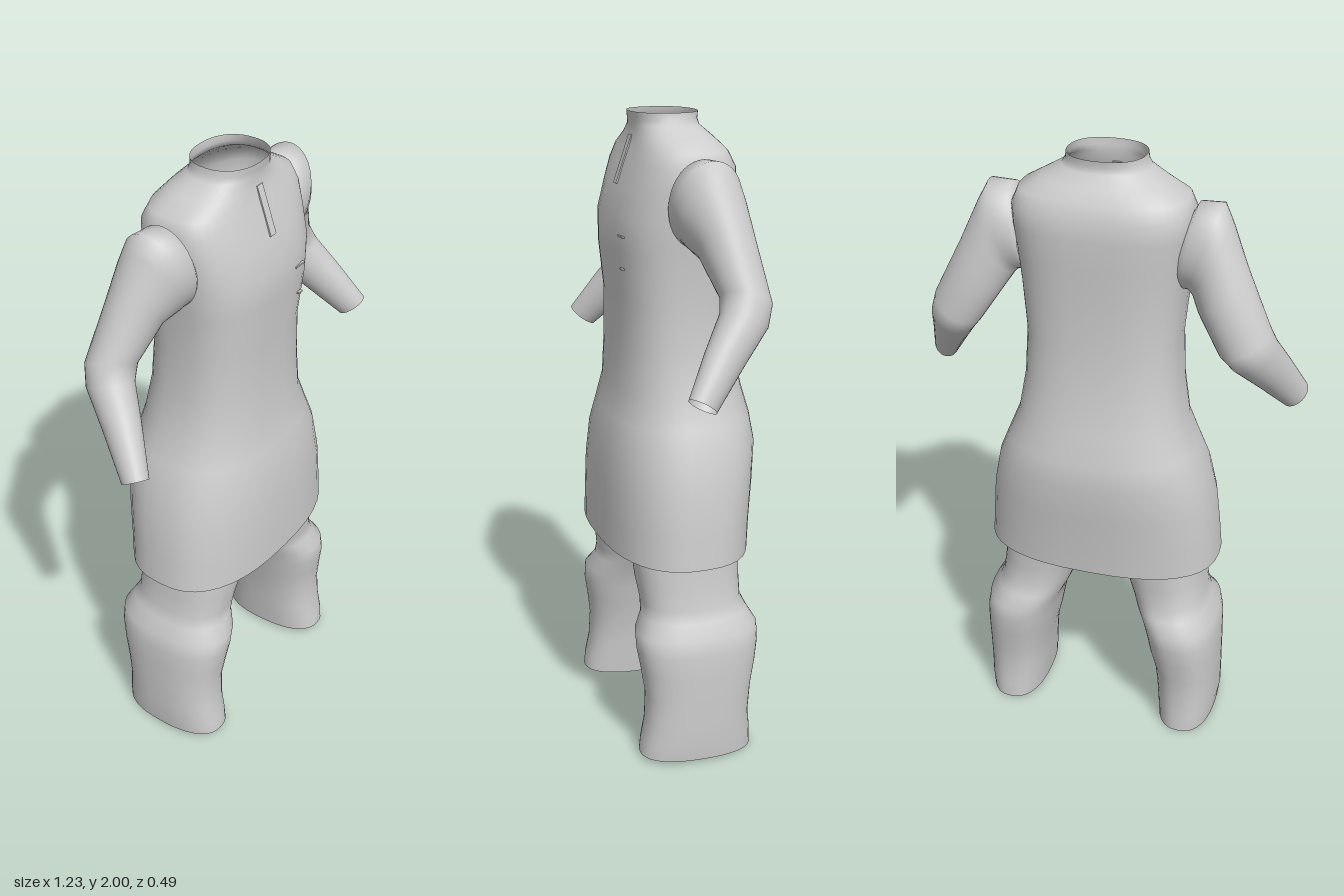
import * as THREE from 'three';

const SEG = 40;

// Skin a list of rings (bottom to top) into one smooth open shell
function loft(name, rings, material) {
  const pos = [], index = [];
  rings.forEach((ring) => ring.forEach((p) => pos.push(p.x, p.y, p.z)));
  for (let r = 0; r < rings.length - 1; r++) {
    for (let i = 0; i < SEG; i++) {
      const a = r * SEG + i, b = r * SEG + ((i + 1) % SEG);
      index.push(a, a + SEG, b, b, a + SEG, b + SEG);
    }
  }
  const geo = new THREE.BufferGeometry();
  geo.setAttribute('position', new THREE.Float32BufferAttribute(pos, 3));
  geo.setIndex(index);
  geo.computeVertexNormals();
  const mesh = new THREE.Mesh(geo, material);
  mesh.name = name;
  return mesh;
}

const ringOf = (fn) => Array.from({ length: SEG }, (_, i) => fn((i / SEG) * Math.PI * 2));
const power = (v, n) => Math.sign(v) * Math.pow(Math.abs(v), 2 / n);

// Rounded-box cross-section at height y; tilt raises the front edge
function section(y, x0, x1, front, back, n, tilt = 0) {
  return ringOf((t) => {
    const z = (front + back) / 2 + ((front - back) / 2) * power(Math.sin(t), n);
    return new THREE.Vector3((x0 + x1) / 2 + ((x1 - x0) / 2) * power(Math.cos(t), n), y + tilt * z, z);
  });
}

// Tunic: y, half width, front z, back z, squareness
const TUNIC = [
  [0.66, 0.387, 0.245, -0.21, 2.5],
  [0.76, 0.378, 0.243, -0.217, 2.5],
  [0.88, 0.365, 0.24, -0.23, 2.5],
  [1.0, 0.338, 0.23, -0.243, 2.5],
  [1.08, 0.305, 0.212, -0.232, 2.5],
  [1.17, 0.268, 0.192, -0.208, 2.5],
  [1.3, 0.246, 0.185, -0.18, 2.6],
  [1.45, 0.238, 0.182, -0.165, 2.7],
  [1.6, 0.25, 0.195, -0.165, 2.8],
  [1.7, 0.26, 0.193, -0.168, 2.8],
  [1.79, 0.268, 0.165, -0.171, 2.9],
  [1.85, 0.27, 0.145, -0.166, 2.9],
  [1.895, 0.252, 0.128, -0.145, 2.8],
  [1.93, 0.19, 0.118, -0.117, 2.5],
  [1.962, 0.132, 0.115, -0.085, 2.3],
  [1.98, 0.121, 0.118, -0.081, 2.3],
  [2.0, 0.118, 0.12, -0.084, 2.3],
];

// Trouser leg: y, inner x, outer x, front z, back z
const LEG = [
  [0.01, 0.212, 0.403, 0.205, -0.165],
  [0.06, 0.208, 0.408, 0.2, -0.163],
  [0.13, 0.202, 0.409, 0.185, -0.157],
  [0.22, 0.194, 0.409, 0.18, -0.165],
  [0.3, 0.175, 0.408, 0.19, -0.182],
  [0.37, 0.162, 0.406, 0.201, -0.192],
  [0.425, 0.148, 0.396, 0.201, -0.193],
  [0.47, 0.126, 0.366, 0.173, -0.168],
  [0.51, 0.11, 0.352, 0.17, -0.15],
  [0.58, 0.087, 0.343, 0.18, -0.15],
  [0.66, 0.065, 0.335, 0.186, -0.155],
  [0.86, 0.02, 0.32, 0.19, -0.17],
];

// Sleeve, wrist to shoulder: outer x, y, inner x, y, centre z, side y, side z
const SLEEVE = [
  [0.617, 1.265, 0.54, 1.234, 0.108, 0.025, 0.04],
  [0.574, 1.385, 0.462, 1.345, 0.018, 0.03, 0.056],
  [0.54, 1.48, 0.4, 1.43, -0.058, 0.03, 0.07],
  [0.517, 1.54, 0.368, 1.47, -0.075, 0.025, 0.076],
  [0.435, 1.71, 0.298, 1.575, -0.046, 0.015, 0.088],
  [0.382, 1.83, 0.275, 1.61, -0.02, 0, 0.1],
  [0.352, 1.888, 0.26, 1.62, -0.01, 0, 0.104],
  [0.28, 1.885, 0.245, 1.62, -0.008, 0, 0.102],
  [0.25, 1.83, 0.235, 1.63, -0.006, 0, 0.09],
];

function sleeveRing([ox, oy, ix, iy, cz, sy, sz], side) {
  return ringOf((t) => {
    const c = Math.cos(t), s = Math.sin(t) * side;
    return new THREE.Vector3(
      side * ((ox + ix) / 2 + (c * (ox - ix)) / 2),
      (oy + iy) / 2 + (c * (oy - iy)) / 2 + s * sy,
      cz + s * sz,
    );
  });
}

export function createModel() {
  const cloth = new THREE.MeshStandardMaterial({ color: 0xcccccc, side: THREE.DoubleSide });
  cloth.name = 'pale grey cloth';
  const model = new THREE.Group();
  model.name = 'outfit';

  model.add(loft('tunic', TUNIC.map(([y, w, f, b, n]) => section(y, -w, w, f, b, n)), cloth));

  for (const side of [1, -1]) {
    const label = side > 0 ? 'left' : 'right';
    model.add(loft(label + 'Sleeve', SLEEVE.map((r) => sleeveRing(r, side)), cloth));
    model.add(loft(label + 'Leg', LEG.map(([y, i, o, f, b]) => {
      const [x0, x1] = side > 0 ? [i, o] : [-o, -i];
      return section(y, x0, x1, f, b, 2.4, y < 0.05 ? 0.04 : 0);
    }), cloth));
  }

  // Narrow placket below the collar
  const placket = new THREE.Mesh(new THREE.BoxGeometry(0.026, 0.15, 0.006), cloth);
  placket.name = 'placket';
  placket.position.set(0, 1.86, 0.142);
  placket.rotation.x = -0.34;
  model.add(placket);

  // Slim chest pocket edges
  for (const [x, y, w] of [[0.112, 1.648, 0.045], [0.12, 1.552, 0.02]]) {
    const edge = new THREE.Mesh(new THREE.BoxGeometry(w, 0.005, 0.008), cloth);
    edge.name = 'pocketEdge';
    edge.position.set(x, y, 0.188);
    model.add(edge);
  }
  return model;
}
